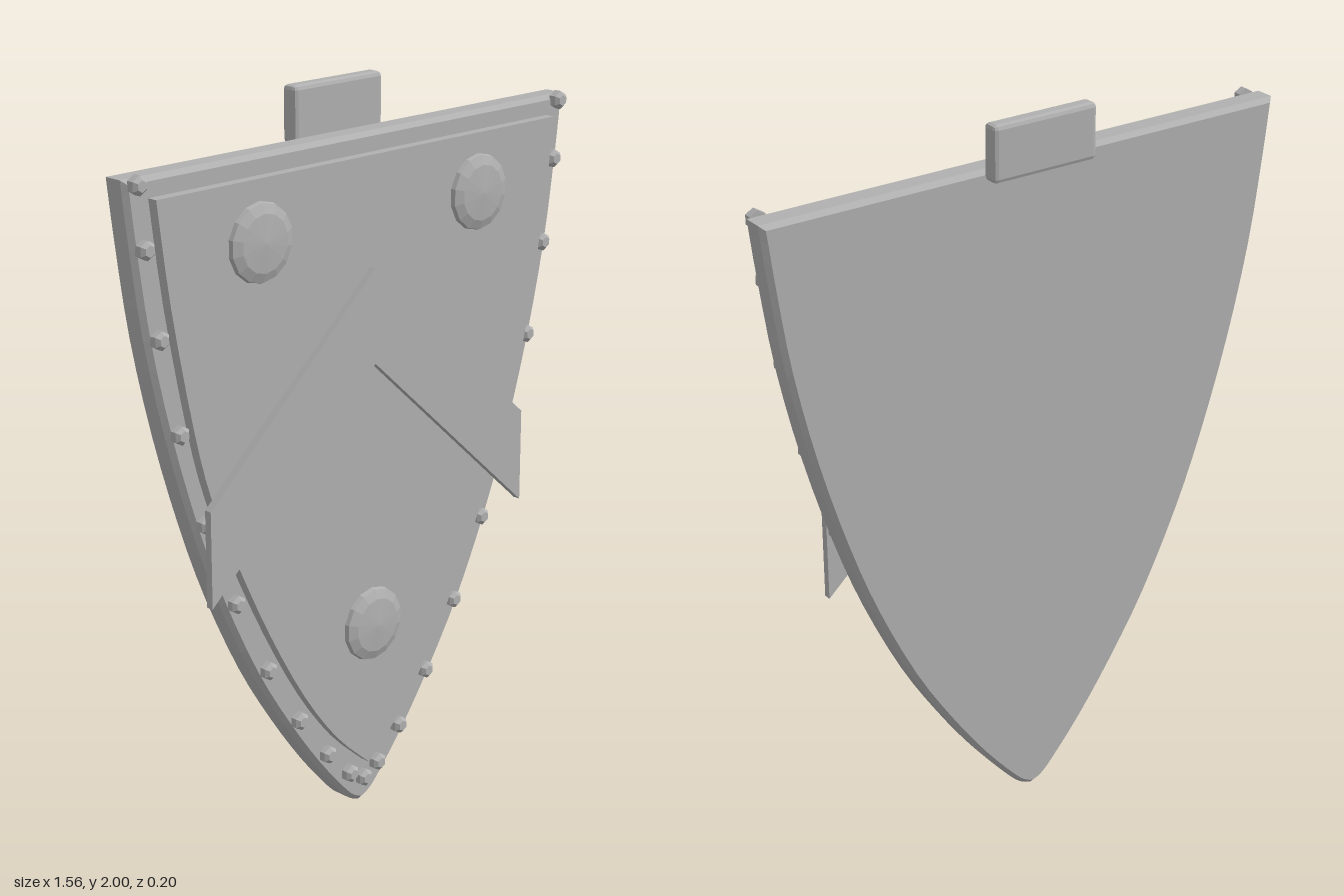
import * as THREE from 'three';
import { RoundedBoxGeometry } from 'three/addons/geometries/RoundedBoxGeometry.js';

const steel = new THREE.MeshStandardMaterial({ color: 0xb0b0b0, flatShading: true });
steel.name = 'grey steel';

// Closed symmetric outline from the right-hand edge, listed top to tip
function mirroredShape(half, divisions) {
  const curve = new THREE.SplineCurve(half.map(([x, y]) => new THREE.Vector2(x, y)));
  const right = divisions ? curve.getPoints(divisions) : curve.points;
  const left = right.filter(p => p.x > 0.001).map(p => new THREE.Vector2(-p.x, p.y));
  return new THREE.Shape([...left, ...right.slice().reverse()]);
}

// Slab between two depths, with an optional bevel kept inside the outline
function slab(shape, back, front, bevel = 0) {
  const geometry = new THREE.ExtrudeGeometry(shape, {
    depth: front - back - 2 * bevel, bevelEnabled: bevel > 0, bevelSegments: 1,
    bevelSize: bevel, bevelThickness: bevel, bevelOffset: -bevel,
  });
  return geometry.translate(0, 0, back + bevel);
}

// Turned solid whose axis points forward
function turned(profile, sides) {
  const points = profile.map(([r, z]) => new THREE.Vector2(r, z));
  return new THREE.LatheGeometry(points, sides).rotateX(Math.PI / 2);
}

export function createModel() {
  const model = new THREE.Group();
  model.name = 'shield';
  const add = (name, geometry, x = 0, y = 0, z = 0) => {
    const mesh = new THREE.Mesh(geometry, steel);
    mesh.name = name;
    mesh.position.set(x, y, z);
    model.add(mesh);
    return mesh;
  };

  // Bevelled body
  const edge = [[0.778, 1.872], [0.757, 1.7], [0.722, 1.47], [0.662, 1.21], [0.583, 0.95],
    [0.5, 0.73], [0.39, 0.5], [0.28, 0.32], [0.17, 0.165], [0.07, 0.047], [0.03, 0.012], [0, 0]];
  add('body', slab(mirroredShape(edge, 33), -0.046, 0.031, 0.013));

  // Raised front panel
  const inner = [[0.705, 1.82], [0.668, 1.55], [0.605, 1.23], [0.55, 1.03], [0.47, 0.84],
    [0.36, 0.61], [0.24, 0.4], [0.12, 0.24], [0, 0.128]];
  add('frontPanel', slab(mirroredShape(inner, 24), 0.03, 0.06));

  // Chevron band
  const band = new THREE.Shape([[0, 1.53], [-0.575, 1.015], [-0.575, 0.755], [0, 1.275],
    [0.575, 0.755], [0.575, 1.015]].map(([x, y]) => new THREE.Vector2(x, y)));
  add('chevron', slab(band, 0.06, 0.081));

  // Domed bosses
  const dome = turned([[0, 0], [0.09, 0], [0.103, 0.01], [0.1, 0.022], [0.075, 0.032], [0, 0.038]], 14);
  for (const [x, y] of [[-0.39, 1.665], [0.39, 1.665], [0, 0.545]]) add('boss', dome, x, y, 0.06);

  // Six-sided rivets around the rim
  const stud = turned([[0, 0], [0.025, 0], [0.025, 0.02], [0.015, 0.03], [0, 0.03]], 6);
  const rivets = [[0.743, 1.858], [0.725, 1.7], [0.688, 1.472], [0.632, 1.22], [0.555, 0.965],
    [0.458, 0.724], [0.35, 0.505], [0.24, 0.325], [0.136, 0.19], [0.053, 0.105]];
  for (const [x, y] of rivets) {
    for (const side of [-1, 1]) add('rivet', stud, side * x, y, 0.028);
  }
  add('rivet', stud, 0, 0.075, 0.028);

  // Hanging plate behind the top edge
  add('hangerPlate', new RoundedBoxGeometry(0.31, 0.15, 0.048, 1, 0.012), 0, 1.925, -0.074);

  return model;
}
